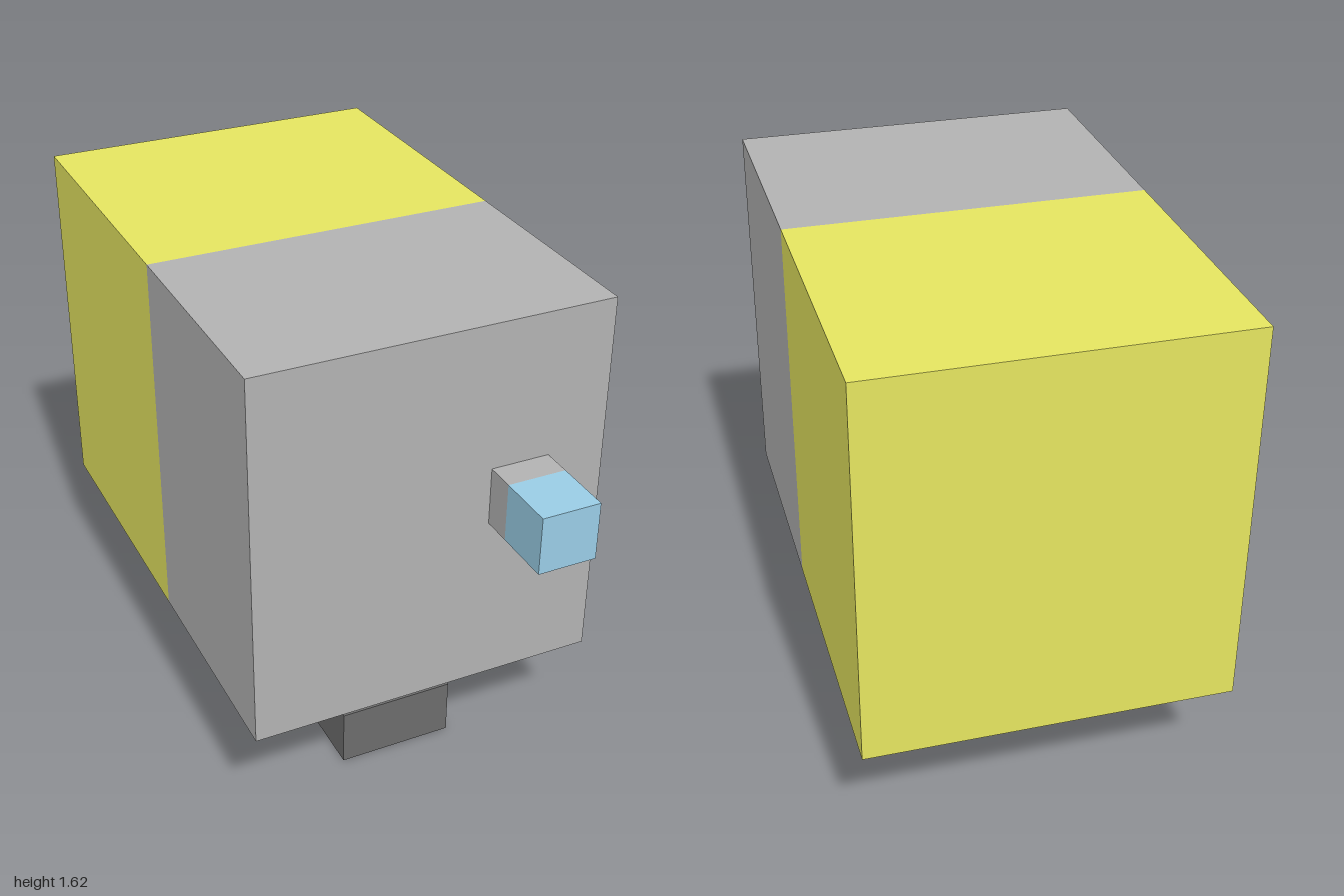
import * as THREE from 'three';

const U = 2 / 21; // the model sits on a grid of 21 units along z

const material = (name, color) => {
  const m = new THREE.MeshStandardMaterial({ color });
  m.name = name;
  return m;
};

const square = (half, Type) => new Type([
  new THREE.Vector2(-half, -half), new THREE.Vector2(half, -half),
  new THREE.Vector2(half, half), new THREE.Vector2(-half, half),
]);

export function createModel() {
  const group = new THREE.Group();
  const grey = material('grey', 0xb2b2b2);
  const yellow = material('yellow', 0xe5e560);
  const darkGrey = material('dark grey', 0x6c6c6c);
  const blue = material('pale blue', 0x99cce5);

  // Box given by its lower and upper corners in grid units
  const box = (name, mat, [x0, y0, z0], [x1, y1, z1]) => {
    const geometry = new THREE.BoxGeometry((x1 - x0) * U, (y1 - y0) * U, (z1 - z0) * U);
    geometry.translate((x0 + x1) * U / 2, (y0 + y1) * U / 2, (z0 + z1) * U / 2);
    const mesh = new THREE.Mesh(geometry, mat);
    mesh.name = name;
    group.add(mesh);
  };

  // Two-tone body
  box('bodyFront', grey, [-6, 4, -0.5], [6, 17, 7.5]);
  box('bodyBack', yellow, [-6, 4, -10.5], [6, 17, -0.5]);

  // Knob on the front, offset to the model's left
  box('knobStem', grey, [2, 10, 7.5], [4, 12, 8.5]);
  box('knobTip', blue, [2, 10, 8.5], [4, 12, 10.5]);

  // Neck and upper half of the foot
  box('neck', grey, [-1, 2, 2.5], [1, 4, 4.5]);
  box('footTop', darkGrey, [-2, 1, 1.5], [2, 2, 5.5]);

  // Lower half of the foot, with a square socket open below
  const ring = square(2 * U, THREE.Shape);
  ring.holes.push(square(U, THREE.Path));
  const ringGeometry = new THREE.ExtrudeGeometry(ring, { depth: U, bevelEnabled: false });
  ringGeometry.rotateX(-Math.PI / 2).translate(0, 0, 3.5 * U);
  const footRing = new THREE.Mesh(ringGeometry, darkGrey);
  footRing.name = 'footRing';
  group.add(footRing);

  // Blue plate at the inner end of the socket
  box('socketPlate', blue, [-1, 0.97, 2.5], [1, 1, 4.5]);

  return group;
}
